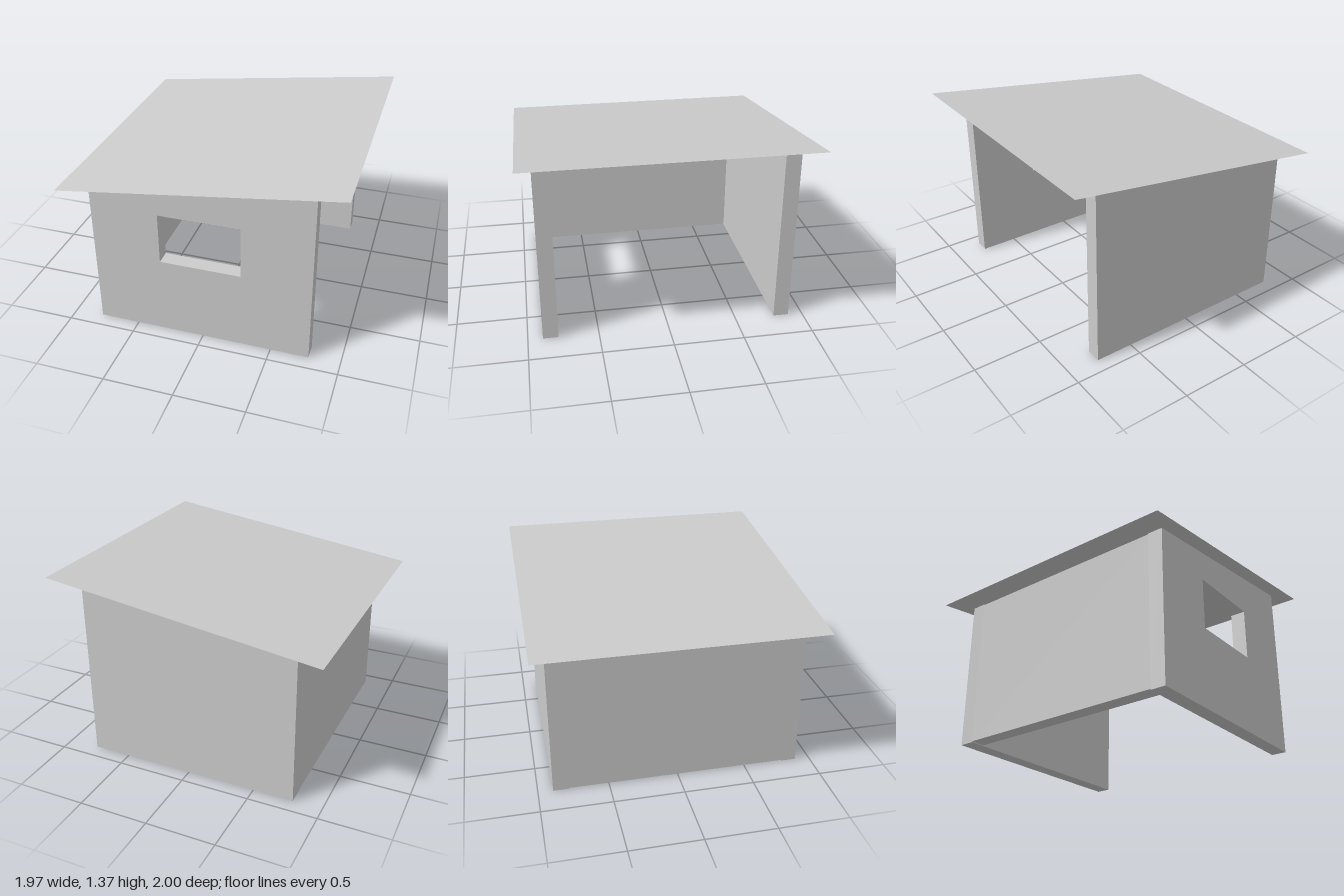
import * as THREE from 'three';

const material = new THREE.MeshStandardMaterial({ color: 0xcccccc, flatShading: true, side: THREE.DoubleSide });

const LEFT = -0.79, RIGHT = 0.775, OUTER = 0.895, THICK = 0.11;
const ROOF_HALF = 0.987, ROOF_LOW = 1.104, ROOF_HIGH = 1.366;

// Wall with a sloping top, optionally with a rectangular window
function slopedWall(name, z, window) {
  const shape = new THREE.Shape([
    [LEFT, 0], [RIGHT, 0], [RIGHT, 1.335], [LEFT, 1.127],
  ].map(([x, y]) => new THREE.Vector2(x, y)));
  if (window) {
    const { x0, x1, y0, y1 } = window;
    shape.holes.push(new THREE.Path([
      [x0, y0], [x0, y1], [x1, y1], [x1, y0],
    ].map(([x, y]) => new THREE.Vector2(x, y))));
  }
  const geometry = new THREE.ExtrudeGeometry(shape, { depth: THICK, bevelEnabled: false });
  const mesh = new THREE.Mesh(geometry, material);
  mesh.name = name;
  mesh.position.z = z;
  return mesh;
}

export function createModel() {
  const shelter = new THREE.Group();
  shelter.name = 'shelter';

  // Front wall with window, plain back wall
  shelter.add(slopedWall('frontWall', OUTER - THICK, { x0: -0.3, x1: 0.28, y0: 0.59, y1: 0.97 }));
  shelter.add(slopedWall('backWall', -OUTER));

  // Low side wall between them; the opposite side stays open
  const height = 1.115;
  const side = new THREE.Mesh(new THREE.BoxGeometry(THICK, height, 2 * (OUTER - THICK)), material);
  side.name = 'sideWall';
  side.position.set(LEFT + THICK / 2, 0.006 + height / 2, 0);
  shelter.add(side);

  // Thin single-pitch roof sheet
  const rise = ROOF_HIGH - ROOF_LOW;
  const sheet = new THREE.PlaneGeometry(Math.hypot(2 * ROOF_HALF, rise), 2).rotateX(-Math.PI / 2);
  const roof = new THREE.Mesh(sheet, material);
  roof.name = 'roof';
  roof.rotation.z = Math.atan2(rise, 2 * ROOF_HALF);
  roof.position.y = (ROOF_LOW + ROOF_HIGH) / 2;
  shelter.add(roof);

  return shelter;
}
